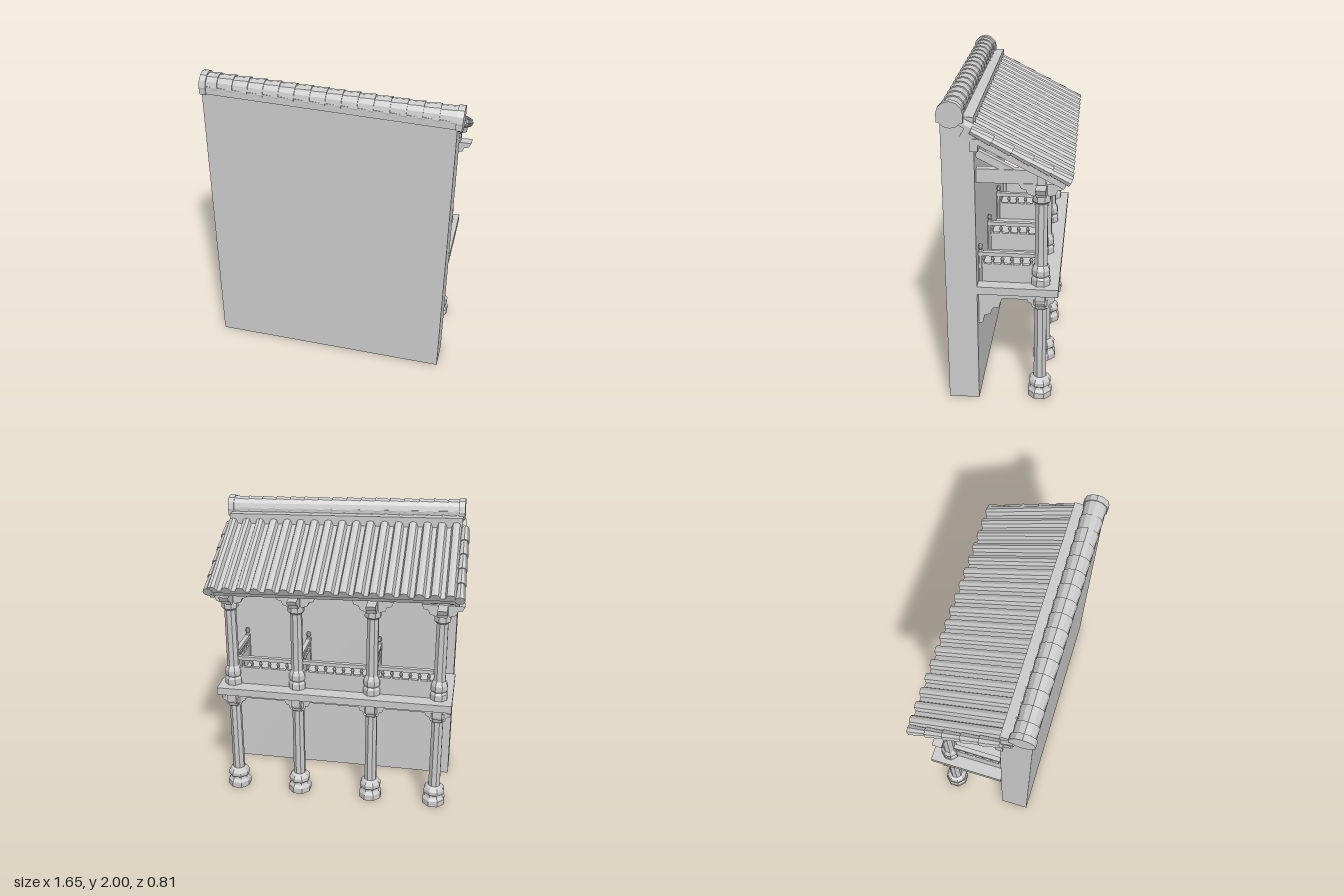
import * as THREE from 'three';

const stone = new THREE.MeshStandardMaterial({ color: 0xcccccc, flatShading: true, side: THREE.DoubleSide });
stone.name = 'plain grey';

const COLS = [-0.69, -0.25, 0.25, 0.69];
const COL_Z = -0.2;
const WALL_Z = 0.18;

function add(parent, name, geo, x = 0, y = 0, z = 0) {
  const m = new THREE.Mesh(geo, stone);
  m.name = name;
  m.position.set(x, y, z);
  parent.add(m);
  return m;
}
const box = (parent, name, w, h, d, x, y, z) => add(parent, name, new THREE.BoxGeometry(w, h, d), x, y, z);

function lathe(points, sides) {
  const g = new THREE.LatheGeometry(points.map(p => new THREE.Vector2(p[0], p[1])), sides);
  return g.rotateY(Math.PI / sides);
}

// Flat outline extruded to a thickness centred on its plane
function plate(points, depth) {
  const s = new THREE.Shape(points.map(p => new THREE.Vector2(p[0], p[1])));
  return new THREE.ExtrudeGeometry(s, { depth, bevelEnabled: false }).translate(0, 0, -depth / 2);
}

// Hollow wall slab, open below, with a gently sloping top
function addWall(root) {
  const g = new THREE.BoxGeometry(1.545, 1.88, 0.19).translate(0, 0.94, 0);
  const p = g.attributes.position;
  for (let i = 0; i < p.count; i++) if (p.getY(i) > 1) p.setY(i, 1.88 - 0.024 * p.getX(i));
  const idx = Array.from(g.index.array);
  idx.splice(18, 6);
  g.clearGroups();
  g.setIndex(idx);
  add(root, 'wall', g, 0.005, 0, 0.275);
}

// Stepped capital with arms in both directions
function addCapital(parent, x, top, half, h) {
  const right = [[0.045, -h], [half * 0.6, -h * 0.85], [half * 0.68, -h * 0.5], [half * 0.88, -h * 0.42], [half, 0]];
  const outline = [...right, ...right.map(p => [-p[0], p[1]]).reverse()];
  for (const turn of [0, Math.PI / 2]) {
    add(parent, 'bracketArm', plate(outline, 0.06), x, top, COL_Z).rotation.y = turn;
  }
}

function addColumn(parent, x) {
  // Lower column, open underneath
  add(parent, 'lowerColumn', lathe([
    [0.08, 0], [0.08, 0.04], [0.066, 0.06], [0.062, 0.075], [0.073, 0.085], [0.073, 0.11],
    [0.06, 0.13], [0.042, 0.14], [0.04, 0.64], [0.055, 0.66], [0.055, 0.7]], 8), x, 0, COL_Z);
  addCapital(parent, x, 0.7, 0.085, 0.06);
  // Upper column
  add(parent, 'upperColumn', lathe([
    [0.06, 0.8], [0.06, 0.84], [0.05, 0.855], [0.058, 0.87], [0.058, 0.9], [0.048, 0.92],
    [0.041, 0.93], [0.039, 1.33], [0.055, 1.345], [0.055, 1.375], [0.048, 1.4], [0.048, 1.45]], 8), x, 0, COL_Z);
  addCapital(parent, x, 1.455, 0.135, 0.075);
  box(parent, 'postHead', 0.05, 0.15, 0.05, x, 1.46, COL_Z);
}

// Panel, balusters and handrail between two points of the floor
function addRailing(parent, x0, z0, x1, z1) {
  const len = Math.hypot(x1 - x0, z1 - z0);
  const rail = new THREE.Group();
  rail.name = 'railing';
  rail.position.set((x0 + x1) / 2, 0, (z0 + z1) / 2);
  rail.rotation.y = -Math.atan2(z1 - z0, x1 - x0);
  parent.add(rail);
  box(rail, 'railPanel', len, 0.12, 0.024, 0, 0.86, 0);
  box(rail, 'handrail', len, 0.025, 0.03, 0, 0.985, 0);
  const n = Math.round(len / 0.06);
  const g = lathe([[0.013, 0], [0.007, 0.012], [0.013, 0.03], [0.006, 0.045], [0.011, 0.055]], 6);
  for (let i = 0; i < n; i++) add(rail, 'baluster', g, ((i + 0.5) / n - 0.5) * len, 0.92, 0);
}

function addBalcony(root) {
  const balcony = new THREE.Group();
  balcony.name = 'balcony';
  root.add(balcony);
  box(balcony, 'floor', 1.56, 0.05, 0.49, 0, 0.775, -0.065);
  box(balcony, 'edgeJoist', 1.5, 0.05, 0.06, 0, 0.725, COL_Z);

  const corbel = plate([[0, -0.19], [0.025, -0.18], [0.035, -0.13], [0.07, -0.12], [0.085, -0.08],
    [0.125, -0.07], [0.14, -0.02], [0.15, 0], [0, 0]], 0.05).rotateY(Math.PI / 2);
  for (const x of COLS) {
    addColumn(balcony, x);
    box(balcony, 'crossJoist', 0.06, 0.055, 0.47, x, 0.7225, -0.05);
    if (x !== 0.25) add(balcony, 'wallCorbel', corbel, x, 0.7, WALL_Z);
    // Dividing railing with its post against the wall
    addRailing(balcony, x, WALL_Z, x, COL_Z + 0.03);
    add(balcony, 'wallPost', lathe([[0.016, 0.8], [0.016, 1.0], [0.009, 1.01], [0.016, 1.025], [0.012, 1.045], [0, 1.05]], 8),
      x, 0, WALL_Z - 0.015);
    // Tie beam and sloping strut up to the wall
    box(balcony, 'tieBeam', 0.05, 0.085, 0.37, x, 1.4925, 0.0);
    box(balcony, 'strut', 0.04, 0.045, 0.27, x, 1.565, 0.06).rotation.x = -0.48;
  }
  for (let i = 0; i < 3; i++) addRailing(balcony, COLS[i] + 0.04, COL_Z, COLS[i + 1] - 0.04, COL_Z);
  box(balcony, 'eaveBeam', 1.5, 0.07, 0.05, 0, 1.495, COL_Z);
  box(balcony, 'wallPurlin', 1.575, 0.075, 0.045, 0, 1.7, WALL_Z);
}

function addRoof(root) {
  const roof = new THREE.Group();
  roof.name = 'roof';
  roof.position.y = 1.8;
  roof.rotation.z = -0.026;
  root.add(roof);

  // Sloping part: local z runs up the slope from the eave
  const slope = new THREE.Group();
  slope.name = 'roofSlope';
  slope.position.set(0, -0.268, -0.372);
  slope.rotation.x = -0.475;
  roof.add(slope);
  const n = 17, pitch = 1.58 / n, len = 0.71;
  const outline = [[0.79, -0.02], [-0.79, -0.02]];
  for (let i = 0; i < n; i++) {
    const x = -0.79 + i * pitch;
    outline.push([x, 0], [x + pitch * 0.3, 0], [x + pitch * 0.42, 0.026], [x + pitch * 0.65, 0.032], [x + pitch * 0.88, 0.026]);
  }
  outline.push([0.79, 0]);
  add(slope, 'tiledRoof', plate(outline, len), 0, 0, len / 2);
  box(slope, 'eaveBoard', 1.56, 0.04, 0.03, 0, -0.04, 0.03);
  for (const x of COLS) box(slope, 'rafter', 0.045, 0.04, 0.6, x, -0.04, 0.33);
  for (const side of [-1, 1]) {
    box(slope, 'vergeBoard', 0.03, 0.06, 0.66, side * 0.77, -0.045, 0.34);
    // Overlapping verge tiles
    const tile = new THREE.CylinderGeometry(0.025, 0.033, 0.135, 8).rotateX(Math.PI / 2);
    for (let i = 0; i < 5; i++) add(slope, 'vergeTile', tile, side * 0.785, -0.012, 0.065 + i * 0.125);
  }

  // Ridge: tapered round tiles over a plain base, with larger end caps
  const ridgeZ = 0.31, count = 16, step = 1.53 / count;
  box(roof, 'ridgeBase', 1.54, 0.05, 0.135, 0, 0.082, ridgeZ);
  const ridgeTile = new THREE.CylinderGeometry(0.064, 0.071, step, 12).rotateZ(Math.PI / 2);
  for (let i = 0; i < count; i++) add(roof, 'ridgeTile', ridgeTile, -0.765 + (i + 0.5) * step, 0.102, ridgeZ);
  const cap = new THREE.CylinderGeometry(0.078, 0.078, 0.04, 12).rotateZ(Math.PI / 2);
  for (const x of [-0.76, 0.785]) {
    add(roof, 'ridgeEndCap', cap, x, 0.1, ridgeZ);
    box(roof, 'ridgeEndBase', 0.038, 0.05, 0.15, x, 0.08, ridgeZ);
  }
}

export function createModel() {
  const model = new THREE.Group();
  model.name = 'balconyFacade';
  const body = new THREE.Group();
  body.name = 'building';
  body.rotation.y = 0.023;
  model.add(body);
  addWall(body);
  addBalcony(body);
  addRoof(body);
  return model;
}
